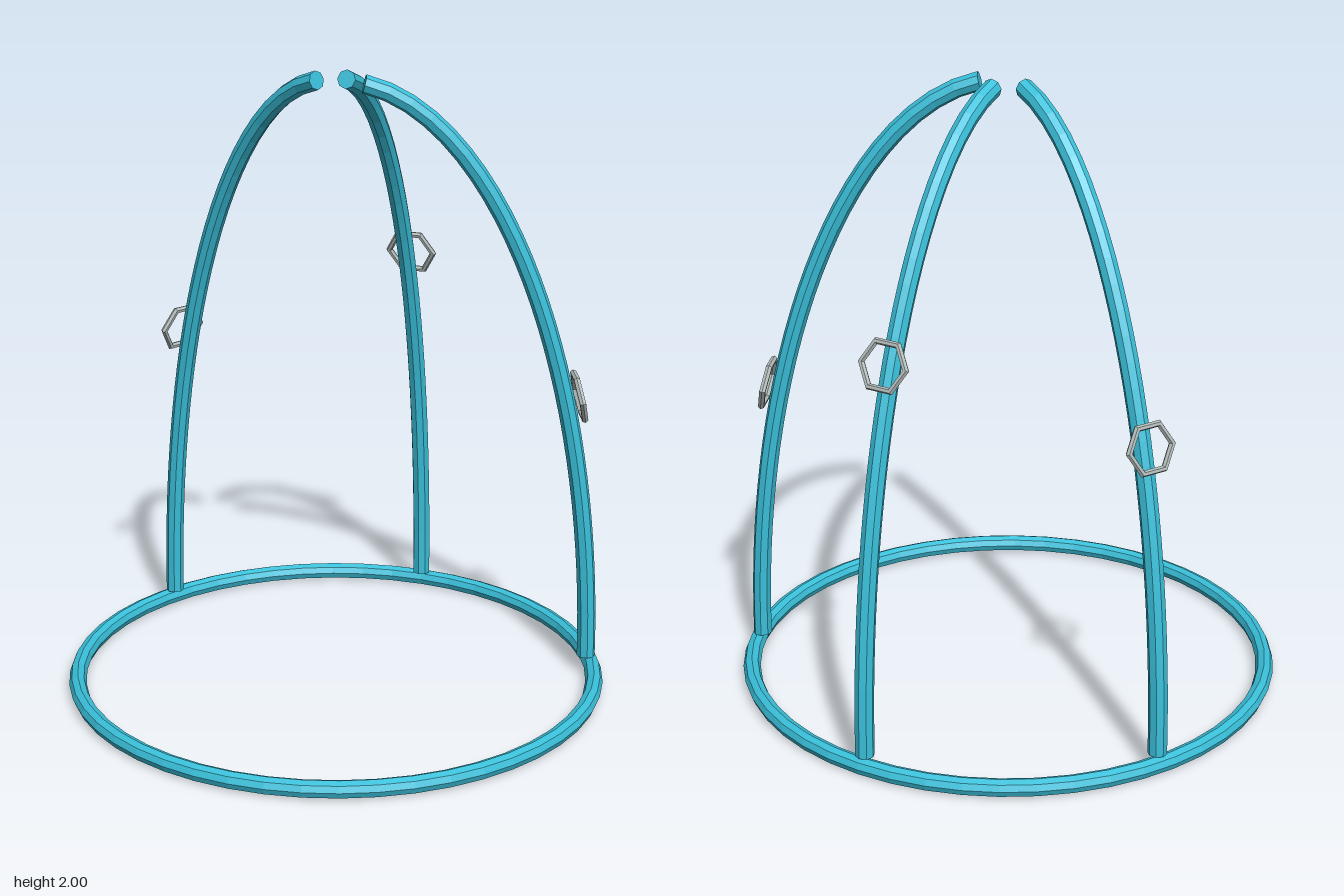
import * as THREE from 'three';

const HOOP_TUBE = 0.028, RIB_TUBE = 0.03;
const BASE_Y = 0.06, RISE = 1.922, REACH = 0.826;

// Quarter-ellipse rib, in the local x-y plane
class RibCurve extends THREE.Curve {
  getPoint(t, target = new THREE.Vector3()) {
    const a = t * THREE.MathUtils.degToRad(84);
    return target.set(REACH * Math.cos(a), BASE_Y + RISE * Math.sin(a), 0);
  }
}

export function createModel() {
  const model = new THREE.Group();
  model.name = 'archedFrame';
  const teal = new THREE.MeshStandardMaterial({ color: 0x3ac0da, flatShading: true });
  teal.name = 'teal';
  const grey = new THREE.MeshStandardMaterial({ color: 0xb2bcba, flatShading: true });
  grey.name = 'grey';

  const add = (parent, name, geometry, material) => {
    const mesh = new THREE.Mesh(geometry, material);
    mesh.name = name;
    parent.add(mesh);
    return mesh;
  };

  // Ground hoop
  const hoop = add(model, 'baseHoop', new THREE.TorusGeometry(0.844, HOOP_TUBE, 8, 48), teal);
  hoop.rotation.x = -Math.PI / 2;
  hoop.position.y = 0.031;

  const curve = new RibCurve();
  const ribGeometry = new THREE.TubeGeometry(curve, 28, RIB_TUBE, 8, false);
  const capGeometry = new THREE.CircleGeometry(RIB_TUBE, 8);
  const linkGeometry = new THREE.TorusGeometry(0.078, 0.011, 6, 6);

  // Each rib: heading around the hoop, and height of its hexagonal link
  const ribs = [
    ['leftRib', 25, 0.965],
    ['backRib', 90, 1.28],
    ['rightRib', 155, 1.045],
  ];
  for (const [name, heading, linkY] of ribs) {
    const rib = new THREE.Group();
    rib.name = name;
    rib.rotation.y = THREE.MathUtils.degToRad(heading);
    model.add(rib);
    add(rib, 'ribTube', ribGeometry, teal);

    // Closed tube ends, turned in the rib's own plane
    for (const [t, dir] of [[0, -1], [1, 1]]) {
      const cap = add(rib, 'ribCap', capGeometry, teal);
      const out = curve.getTangent(t).multiplyScalar(dir);
      cap.position.copy(curve.getPoint(t));
      cap.rotation.set(0, Math.PI / 2, Math.atan2(out.y, out.x), 'ZYX');
    }

    // Link lying against the outside of the rib
    const offset = 0.045;
    const a = Math.asin((linkY - 0.015 - BASE_Y) / RISE);
    const tilt = Math.atan2(Math.sin(a) / RISE, Math.cos(a) / REACH);
    const link = add(rib, 'hexLink', linkGeometry, grey);
    link.position.set(
      REACH * Math.cos(a) + offset * Math.cos(tilt),
      BASE_Y + RISE * Math.sin(a) + offset * Math.sin(tilt), 0);
    link.rotation.set(0, Math.PI / 2, tilt, 'ZYX');
  }
  return model;
}
